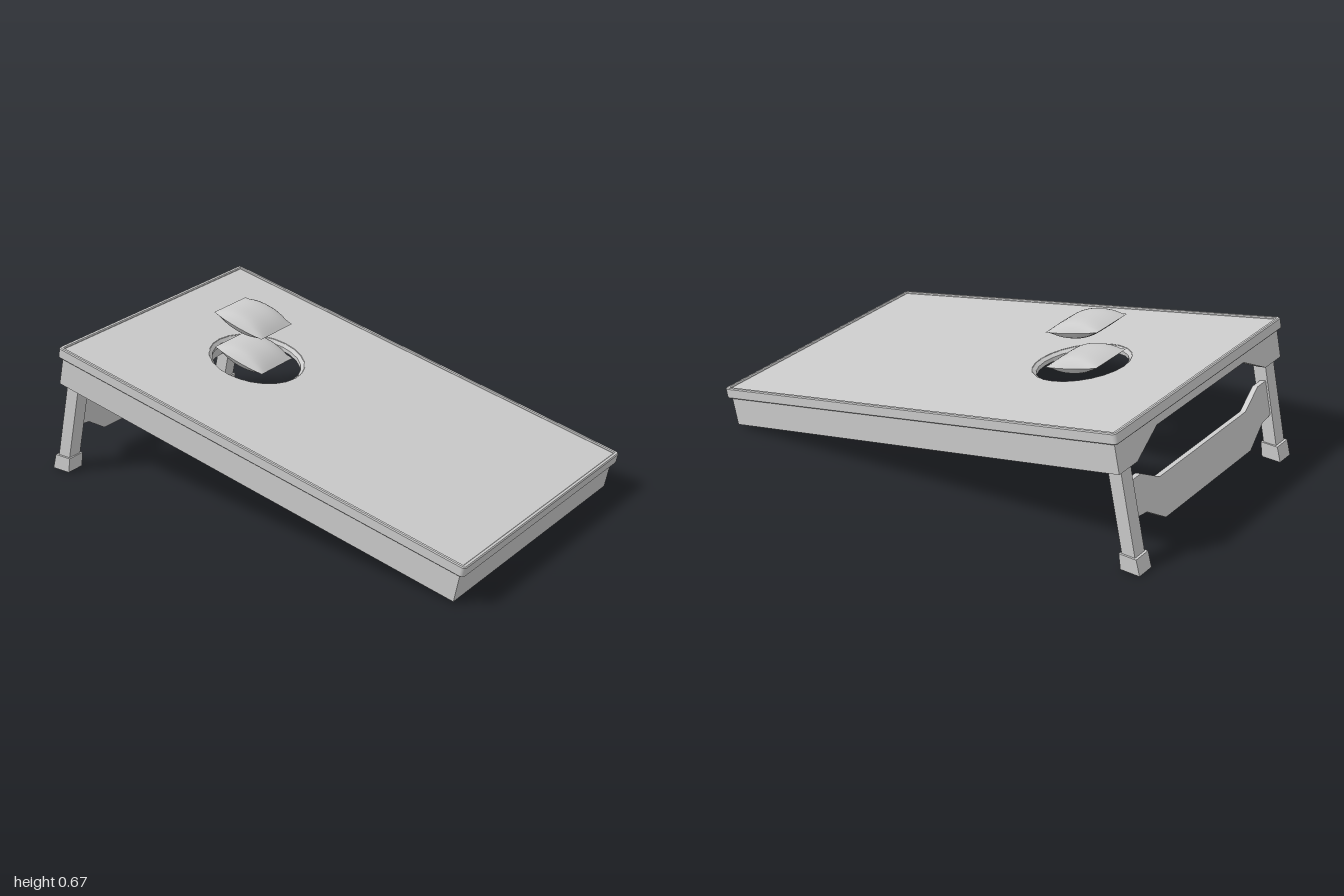
import * as THREE from 'three';

const TILT = THREE.MathUtils.degToRad(12.03);
const grey = new THREE.MeshStandardMaterial({ color: 0xcccccc, side: THREE.DoubleSide });

function add(parent, name, geometry, x = 0, y = 0, z = 0) {
  const mesh = new THREE.Mesh(geometry, grey);
  mesh.name = name;
  mesh.position.set(x, y, z);
  parent.add(mesh);
  return mesh;
}

const polygon = pts => new THREE.Shape(pts.map(p => new THREE.Vector2(...p)));
const rect = (w, d) => [[-w, -d], [w, -d], [w, d], [-w, d]];
// Completes the right half of an outline (listed top to bottom) with its mirror image
const mirrored = half => polygon([...half, ...half.map(([x, y]) => [-x, y]).reverse()]);

function extrude(shape, depth, bevel = 0) {
  return new THREE.ExtrudeGeometry(shape, {
    depth: depth - 2 * bevel, curveSegments: 12,
    bevelEnabled: bevel > 0, bevelSize: bevel, bevelThickness: bevel,
    bevelOffset: -bevel, bevelSegments: 1,
  }).translate(0, 0, bevel);
}
// Extruded plate lying flat, thickness along +y
const plate = (shape, depth, bevel) => extrude(shape, depth, bevel).rotateX(-Math.PI / 2);

function roundedRect(w, d, r) {
  const s = new THREE.Shape();
  s.absarc(w - r, d - r, r, 0, Math.PI / 2);
  s.absarc(-w + r, d - r, r, Math.PI / 2, Math.PI);
  s.absarc(-w + r, -d + r, r, Math.PI, Math.PI * 1.5);
  s.absarc(w - r, -d + r, r, Math.PI * 1.5, Math.PI * 2);
  return s;
}

// Stuffed square bag: two domed faces meeting in a sharp seam
function pillow(w, h, d) {
  const g = new THREE.BoxGeometry(2, 2, 2, 16, 1, 16);
  const p = g.attributes.position;
  for (let i = 0; i < p.count; i++) {
    const u = p.getX(i), v = p.getZ(i), side = p.getY(i);
    const dome = Math.sqrt(Math.max(0, 1 - u ** 4)) * (1 - Math.abs(v) ** 2.2);
    p.setXYZ(i, u * w * (1 - 0.1 * v * v), side * h * dome, v * d);
  }
  g.computeVertexNormals();
  return g;
}

export function createModel() {
  const model = new THREE.Group();
  model.name = 'beanBagTossBoard';

  // Everything fixed to the sloping board; its origin is the middle of the top
  const board = new THREE.Group();
  board.name = 'board';
  board.position.set(0, 0.3675, 0.05);
  board.rotation.x = TILT;
  model.add(board);

  // Raised rim around a slightly sunken playing surface
  const rim = roundedRect(0.592, 0.971, 0.016);
  rim.holes.push(polygon(rect(0.574, 0.953)));
  add(board, 'rim', plate(rim, 0.045, 0.004), 0, -0.045, 0);

  const holeZ = -0.419;
  const surface = polygon(rect(0.578, 0.957));
  const hole = new THREE.Path();
  hole.absarc(0, -holeZ, 0.196, 0, Math.PI * 2);
  surface.holes.push(hole);
  add(board, 'playingSurface', plate(surface, 0.03), 0, -0.036, 0);

  // Chamfered lining of the hole
  const lining = [[0.198, -0.005], [0.183, -0.018], [0.183, -0.034], [0.2, -0.044], [0.2, -0.034]]
    .map(p => new THREE.Vector2(...p));
  const liningGeometry = new THREE.LatheGeometry(lining.reverse(), 24).toNonIndexed();
  liningGeometry.computeVertexNormals();
  add(board, 'holeLining', liningGeometry, 0, 0, holeZ);

  // Box frame under the surface
  const wall = 0.03, top = -0.036, bottom = -0.165;
  const height = top - bottom, midY = (top + bottom) / 2;
  for (const s of [-1, 1]) {
    add(board, s > 0 ? 'leftRail' : 'rightRail',
      new THREE.BoxGeometry(wall, height, 1.904), s * (0.578 - wall / 2), midY, 0);
  }
  add(board, 'frontRail', new THREE.BoxGeometry(1.156, height, wall), 0, midY, 0.952 - wall / 2);

  // Back rail with a shallow arch cut from its lower edge
  const backRail = mirrored([[0.578, top], [0.578, bottom], [0.46, bottom], [0.31, -0.085]]);
  add(board, 'backRail', extrude(backRail, wall), 0, 0, -0.952);

  // Legs stand square to the board, ending in feet cut level with the ground
  const foot = polygon([[0.917, 0], [1, 0], [0.983, 0.064], [0.908, 0.064]]);
  for (const s of [-1, 1]) {
    const side = s > 0 ? 'left' : 'right';
    add(board, side + 'Leg', new THREE.BoxGeometry(0.064, 0.48, 0.056), s * 0.515, -0.275, -0.909);
    add(model, side + 'Foot',
      extrude(foot, 0.08).translate(0, 0, -0.04).rotateY(Math.PI / 2), s * 0.515, 0, 0);
  }

  // Cross brace between the legs, dropping lower in the middle
  const brace = mirrored([[0.31, -0.293], [0.42, -0.232], [0.5, -0.232],
    [0.5, -0.375], [0.42, -0.385], [0.31, -0.457]]);
  add(board, 'legBrace', extrude(brace, 0.024), 0, 0, -0.929);

  // Two bean bags dropping into the hole
  ['upperBag', 'lowerBag'].forEach((name, i) => {
    const bag = add(model, name, pillow(0.115, 0.037, 0.122), 0, 0.622 - i * 0.15, -0.377);
    bag.rotation.x = THREE.MathUtils.degToRad(15.5);
  });

  return model;
}
